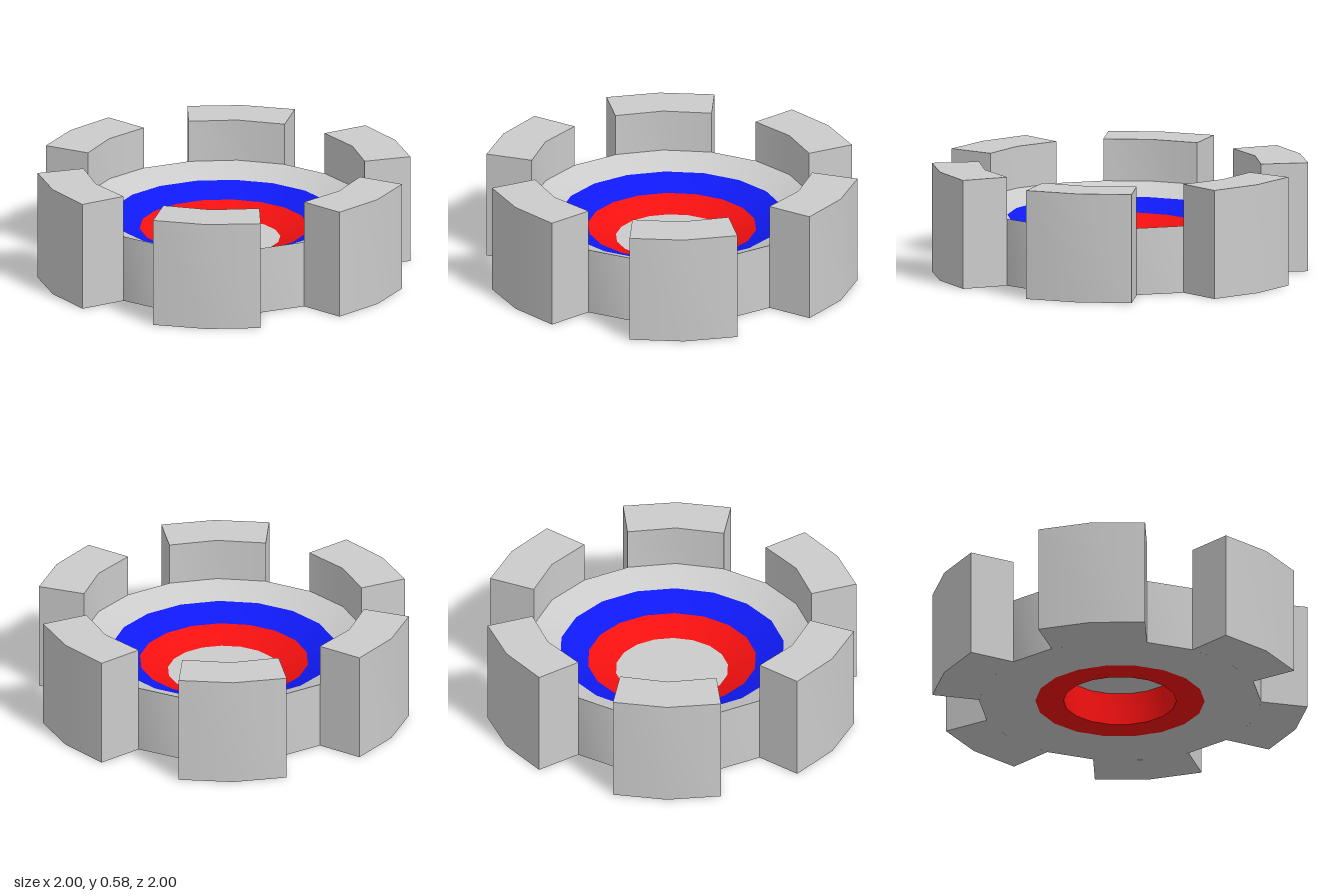
import * as THREE from 'three';
import { toCreasedNormals } from 'three/addons/utils/BufferGeometryUtils.js';

const SIDES = 18;
const DEG = Math.PI / 180;
const CREASE = 35 * DEG;

const GREY = new THREE.MeshStandardMaterial({ color: 0xcccccc });
const GREY_THIN = new THREE.MeshStandardMaterial({ color: 0xcccccc, side: THREE.DoubleSide });
const BLUE = new THREE.MeshStandardMaterial({ color: 0x0f1af5, side: THREE.DoubleSide });
const RED = new THREE.MeshStandardMaterial({ color: 0xf51010 });

// Revolve a [radius, height] profile with the shared 18-sided outline
function ring(name, profile, material) {
  const points = profile.map(([r, y]) => new THREE.Vector2(r, y));
  const geometry = new THREE.LatheGeometry(points, SIDES, 6 * DEG);
  const mesh = new THREE.Mesh(toCreasedNormals(geometry, CREASE), material);
  mesh.name = name;
  return mesh;
}

// One gear tooth, pointing at the given angle (clockwise from the back)
function tooth(angle) {
  const at = (r, offset) => {
    const a = (angle + offset) * DEG;
    return new THREE.Vector2(r * Math.sin(a), r * Math.cos(a));
  };
  const shape = new THREE.Shape([
    at(0.75, -20), at(0.75, 0), at(0.75, 20),
    at(1, 16.7), at(1, 0), at(1, -16.7),
  ]);
  const geometry = new THREE.ExtrudeGeometry(shape, { depth: 0.585, bevelEnabled: false });
  geometry.rotateX(-Math.PI / 2);
  const mesh = new THREE.Mesh(toCreasedNormals(geometry, CREASE), GREY);
  mesh.name = 'tooth';
  return mesh;
}

export function createModel() {
  const model = new THREE.Group();
  model.name = 'gearDish';

  // Outer body with a rim sloping inward
  model.add(ring('outerRing', [[0.45, 0], [0.75, 0], [0.75, 0.36], [0.6, 0.3]], GREY));

  // Coloured bands continuing the funnel
  model.add(ring('blueBand', [[0.6, 0.3], [0.45, 0.24]], BLUE));
  model.add(ring('redBand', [[0.45, 0.24], [0.3, 0.18], [0.3, 0], [0.45, 0]], RED));

  // Flat floor in the middle
  model.add(ring('floor', [[0.3, 0.18], [0, 0.18]], GREY_THIN));

  // Six raised teeth
  const teeth = new THREE.Group();
  teeth.name = 'teeth';
  for (let i = 0; i < 6; i++) teeth.add(tooth(13.8 + i * 60));
  model.add(teeth);

  return model;
}
